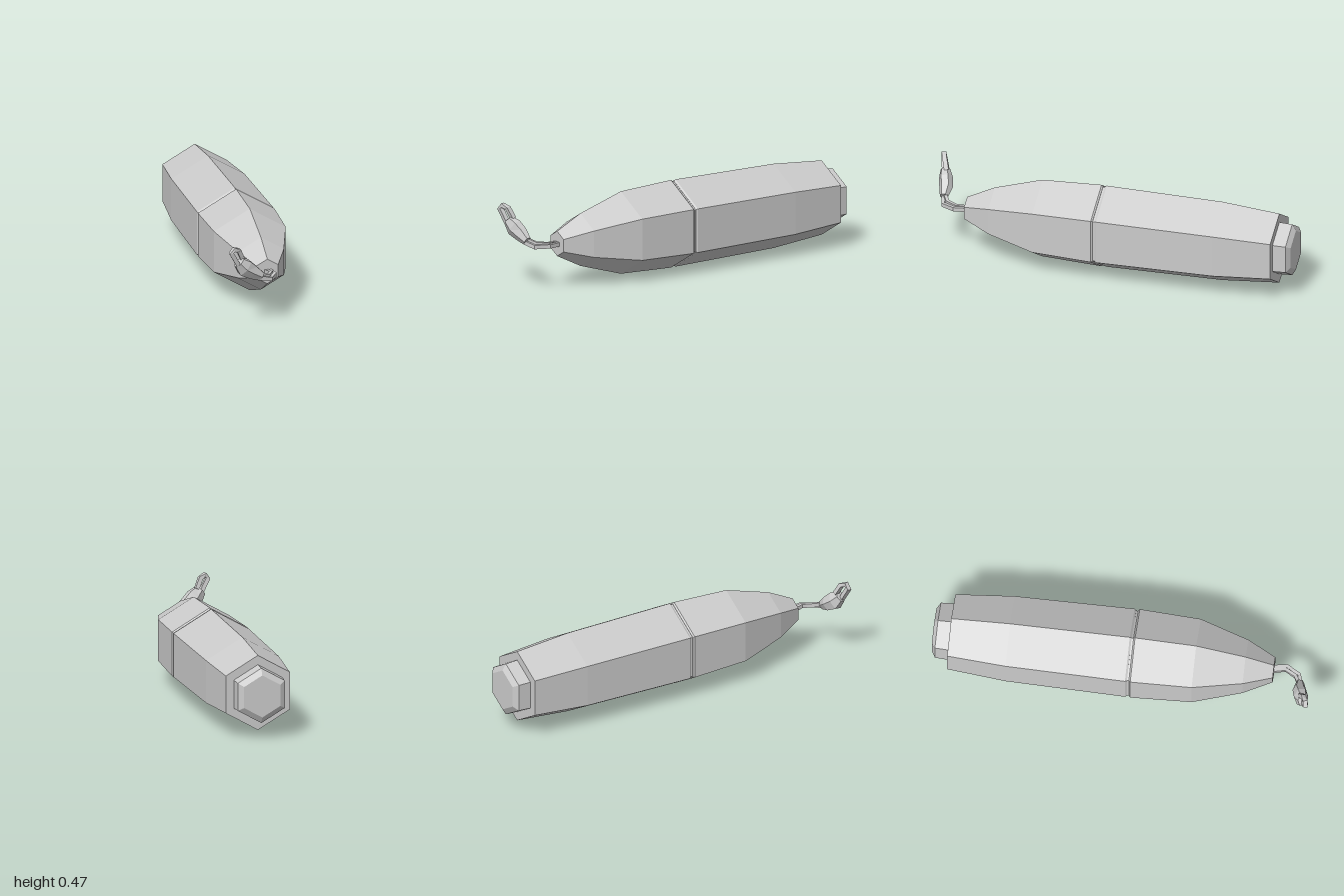
import * as THREE from 'three';

const material = new THREE.MeshStandardMaterial({ color: 0xcccccc, flatShading: true });

// Lofts rings along a path; each ring is [x, y, z, halfWidth, halfDepth], depth lying along the hint.
function loft(rings, sides, hint) {
  const centres = rings.map(([x, y, z]) => new THREE.Vector3(x, y, z));
  const last = rings.length - 1;
  const pos = [];
  const index = [];
  rings.forEach(([, , , w, d], i) => {
    const t = centres[Math.min(i + 1, last)].clone().sub(centres[Math.max(i - 1, 0)]).normalize();
    const u = hint.clone().cross(t).normalize();
    const v = t.clone().cross(u);
    for (let j = 0; j < sides; j++) {
      const a = ((j + 0.5) / sides) * Math.PI * 2;
      const p = centres[i].clone().addScaledVector(u, w * Math.cos(a)).addScaledVector(v, d * Math.sin(a));
      pos.push(p.x, p.y, p.z);
      const k = (j + 1) % sides;
      const n = i * sides;
      if (i < last) index.push(n + j, n + k, n + sides + j, n + k, n + sides + k, n + sides + j);
    }
  });
  // End caps
  for (let j = 1; j < sides - 1; j++) {
    const n = last * sides;
    index.push(0, j + 1, j, n, n + j, n + j + 1);
  }
  const g = new THREE.BufferGeometry();
  g.setAttribute('position', new THREE.Float32BufferAttribute(pos, 3));
  g.setIndex(index);
  const flat = g.toNonIndexed();
  flat.computeVertexNormals();
  return flat;
}

// Six-sided turned part lying along z, from [radius, z] pairs running back to front
function hexPart(name, profile) {
  const g = new THREE.LatheGeometry(profile.map(([r, z]) => new THREE.Vector2(r, z)), 6);
  g.rotateX(Math.PI / 2);
  const mesh = new THREE.Mesh(g, material);
  mesh.name = name;
  mesh.position.set(0.024, 0.236, 0);
  return mesh;
}

export function createModel() {
  const group = new THREE.Group();
  group.name = 'hexagonalCase';
  const add = (name, geometry) => {
    const mesh = new THREE.Mesh(geometry, material);
    mesh.name = name;
    group.add(mesh);
  };

  group.add(
    hexPart('endButton', [[0, -1], [0.113, -1], [0.147, -0.98], [0.151, -0.9], [0, -0.9]]),
    hexPart('rearBody', [[0, -0.91], [0.2, -0.91], [0.227, -0.6], [0.235, 0.03], [0.228, 0.04], [0, 0.04]]),
    hexPart('seam', [[0.226, 0.03], [0.226, 0.06]]),
    hexPart('frontCap', [[0, 0.05], [0.228, 0.05], [0.236, 0.058], [0.222, 0.38], [0.142, 0.64], [0.067, 0.79], [0, 0.79]])
  );

  // Two cord strands leaving the tip
  const up = new THREE.Vector3(0, 1, 0);
  const strands = [
    [[0.017, 0.236, 0.78], [0.03, 0.243, 0.85], [0, 0.246, 0.905], [-0.045, 0.262, 0.93]],
    [[0.036, 0.236, 0.78], [0.05, 0.237, 0.855], [0.012, 0.235, 0.925], [-0.05, 0.25, 0.942]]
  ];
  strands.forEach((path, i) => {
    add(`cordStrand${i + 1}`, loft(path.map((p) => [...p, 0.013, 0.015]), 4, up));
  });

  // Knot in the cord
  const forward = new THREE.Vector3(0, 0, 1);
  add('knot', loft([
    [-0.04, 0.256, 0.935, 0.026, 0.022],
    [-0.09, 0.285, 0.938, 0.042, 0.036],
    [-0.135, 0.315, 0.952, 0.052, 0.038],
    [-0.168, 0.35, 0.965, 0.034, 0.026]
  ], 6, forward));

  // Small open loop beyond the knot
  add('cordLoop', loft([
    [-0.172, 0.335, 0.97],
    [-0.214, 0.408, 0.985],
    [-0.198, 0.426, 0.982],
    [-0.17, 0.414, 0.968],
    [-0.145, 0.36, 0.95]
  ].map((p) => [...p, 0.016, 0.017]), 4, forward));

  return group;
}
